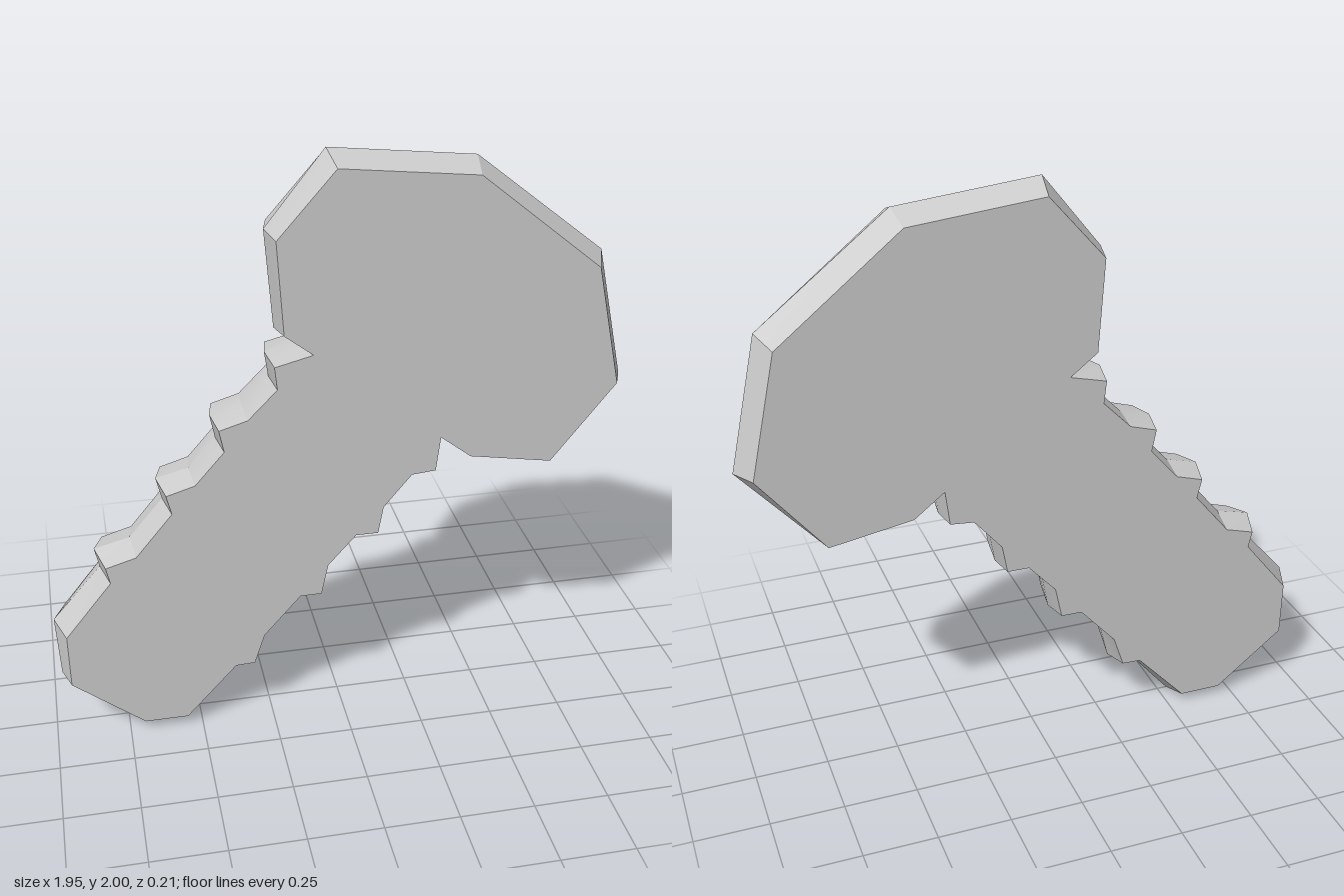
import * as THREE from 'three';
import { toCreasedNormals } from 'three/addons/utils/BufferGeometryUtils.js';

const HALF = 0.103; // half thickness

// Outline at the mid plane, counter-clockwise: x, y, bevel width at that corner
const tip = [
  [-0.975, 0.43, 0.037], [-0.965, 0.21, 0.03], [-0.71, 0, 0.034], [-0.535, 0, 0.034],
];
const rightTeeth = [
  [-0.365, 0.202, 0.022], [-0.293, 0.205, 0.022], [-0.262, 0.33, 0.013],
  [-0.14, 0.463, 0.016], [-0.062, 0.465, 0.015], [-0.04, 0.585, 0.012],
  [0.05, 0.685, 0.012], [0.13, 0.685, 0.012], [0.148, 0.79, 0.011],
  [0.238, 0.897, 0.011], [0.323, 0.905, 0.011], [0.334, 1.02, 0.008],
];
const head = [
  [0.425, 0.942, 0.014], [0.72, 0.88, 0.025], [0.97, 1.165, 0.042], [0.87, 1.612, 0.042],
  [0.44, 1.95, 0.036], [-0.035, 2, 0.036], [-0.23, 1.757, 0.022], [-0.205, 1.43, 0.018],
];
const leftTeeth = [
  [-0.112, 1.372, 0.006], [-0.237, 1.35, 0.015], [-0.225, 1.264, 0.012],
  [-0.315, 1.173, 0.012], [-0.42, 1.145, 0.015], [-0.404, 1.062, 0.015],
  [-0.495, 0.96, 0.016], [-0.605, 0.932, 0.02], [-0.587, 0.855, 0.02],
  [-0.702, 0.72, 0.022], [-0.822, 0.69, 0.026], [-0.807, 0.62, 0.026],
];

// Move every corner inward along its mitre
function inset(points) {
  const n = points.length;
  const normal = (a, b) => new THREE.Vector2(a[1] - b[1], b[0] - a[0]).normalize();
  return points.map((p, i) => {
    const n1 = normal(points[(i + n - 1) % n], p);
    const n2 = normal(p, points[(i + 1) % n]);
    const k = p[2] / (1 + n1.dot(n2));
    return new THREE.Vector2(p[0] + (n1.x + n2.x) * k, p[1] + (n1.y + n2.y) * k);
  });
}

// Slab with a ridge running round its rim: back ring, middle ring, front ring
function ridgedSlab(points, half) {
  const n = points.length;
  const inner = inset(points);
  const positions = [];
  inner.forEach((p) => positions.push(p.x, p.y, -half));
  points.forEach((p) => positions.push(p[0], p[1], 0));
  inner.forEach((p) => positions.push(p.x, p.y, half));

  const index = [];
  for (let ring = 0; ring < 2; ring++) {
    for (let i = 0; i < n; i++) {
      const a = ring * n + i;
      const b = ring * n + ((i + 1) % n);
      index.push(a, b, b + n, a, b + n, a + n);
    }
  }
  for (const [a, b, c] of THREE.ShapeUtils.triangulateShape(inner, [])) {
    index.push(a + 2 * n, b + 2 * n, c + 2 * n); // front face
    index.push(c, b, a); // back face
  }
  const geometry = new THREE.BufferGeometry();
  geometry.setAttribute('position', new THREE.Float32BufferAttribute(positions, 3));
  geometry.setIndex(index);
  return toCreasedNormals(geometry, 0.3);
}

export function createModel() {
  const group = new THREE.Group();
  group.name = 'notchedClub';
  const outline = [...tip, ...rightTeeth, ...head, ...leftTeeth];
  const body = new THREE.Mesh(
    ridgedSlab(outline, HALF),
    new THREE.MeshStandardMaterial({ color: 0xcccccc }),
  );
  body.name = 'headAndNotchedHandle';
  group.add(body);
  return group;
}
